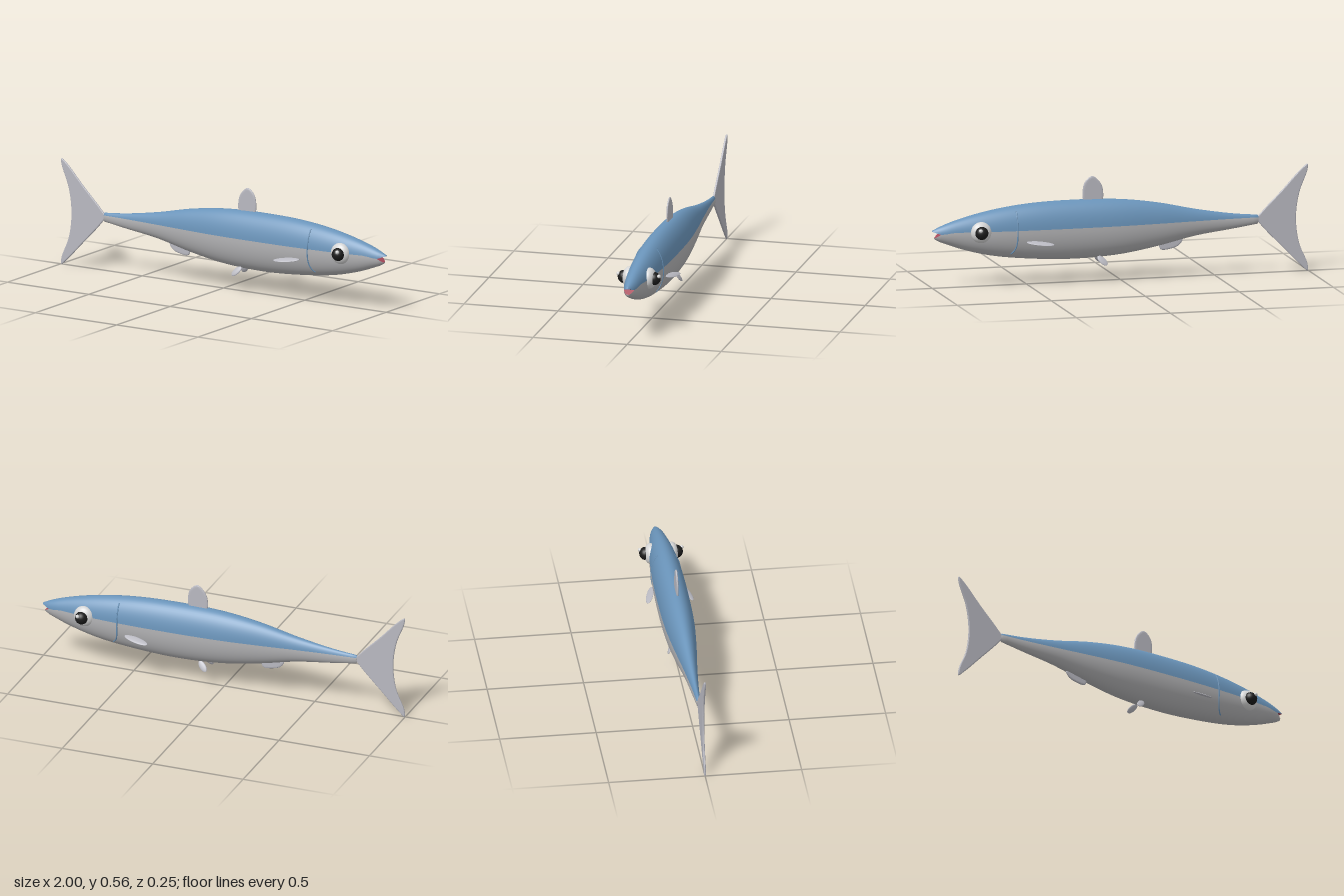
import * as THREE from 'three';

const mat = (name, color, side = THREE.FrontSide) => {
  const m = new THREE.MeshStandardMaterial({ color, side });
  m.name = name;
  return m;
};

// Body stations: x, top, bottom, half width
const STATIONS = [
  [-0.73, 0.312, 0.265, 0.012], [-0.6, 0.325, 0.246, 0.02], [-0.4, 0.358, 0.219, 0.038],
  [-0.2, 0.401, 0.175, 0.06], [0, 0.428, 0.142, 0.077], [0.25, 0.436, 0.129, 0.083],
  [0.5, 0.427, 0.142, 0.08], [0.7, 0.4, 0.168, 0.068], [0.85, 0.365, 0.207, 0.049],
  [0.95, 0.332, 0.244, 0.031], [1, 0.309, 0.263, 0.013],
];
const spline = new THREE.CubicInterpolant(STATIONS.map(s => s[0]), STATIONS.flatMap(s => s.slice(1)), 3);
const MOUTH_X = 0.96;

function sectionAt(x) {
  const [top, bottom, w] = spline.evaluate(x);
  return { c: (top + bottom) / 2, h: (top - bottom) / 2, w };
}

// Height of the colour line; ahead of the mouth corner it opens into two lips
function edgeAt(x, upper) {
  const line = 0.3 - 0.01 * THREE.MathUtils.smoothstep(x, 0.88, MOUTH_X);
  const open = Math.max(0, (x - MOUTH_X) / (1 - MOUTH_X));
  return line + open * (upper ? 0.013 : -0.019);
}

const edgeAngle = (s, y) => Math.asin(THREE.MathUtils.clamp((y - s.c) / s.h, -0.98, 0.98));
const lipX = (x, upper) => (upper || x < MOUTH_X ? x : MOUTH_X + (x - MOUTH_X) * 0.7);

// Smooth surface through rows of points
function loft(rows) {
  const n = rows[0].length, index = [];
  for (let i = 0; i < rows.length - 1; i++) {
    for (let j = 0; j < n - 1; j++) {
      const a = i * n + j, b = a + n;
      index.push(a, b, a + 1, b, b + 1, a + 1);
    }
  }
  const g = new THREE.BufferGeometry();
  g.setAttribute('position', new THREE.Float32BufferAttribute(rows.flat(2), 3));
  g.setIndex(index);
  g.computeVertexNormals();
  return g;
}

const BODY_X = Array.from({ length: 65 }, (_, i) => -0.73 + (MOUTH_X + 0.73) * i / 64);
const JAW_X = [0.96, 0.97, 0.98, 0.99, 1];

// Back or belly half of the body, closed at the tail root and the lip
function halfBody(upper, segments = 28) {
  const rows = [...BODY_X, ...JAW_X.slice(1)].map(x => {
    const s = sectionAt(x), a = edgeAngle(s, edgeAt(x, upper));
    const from = upper ? a : Math.PI - a, to = upper ? Math.PI - a : 2 * Math.PI + a;
    return Array.from({ length: segments + 1 }, (_, j) => {
      const t = from + (to - from) * j / segments;
      return [lipX(x, upper), s.c + s.h * Math.sin(t), s.w * Math.cos(t)];
    });
  });
  const last = rows[rows.length - 1];
  const tailEnd = rows[0].map(() => [-0.738, 0.295, 0]);
  const lip = last.map(p => [p[0], last[0][1], p[2]]);
  return loft([tailEnd, ...rows, lip]);
}

// Roof or floor of the mouth
function mouthFace(upper) {
  return loft(JAW_X.map(x => {
    const s = sectionAt(x), y = edgeAt(x, upper), z = s.w * Math.cos(edgeAngle(s, y));
    return [-1, 0, 1].map(k => [lipX(x, upper), y, k * z]);
  }));
}

// Thin upright fin with a rounded rim
function uprightFin(points, bevel) {
  const curve = new THREE.CatmullRomCurve3(points.map(p => new THREE.Vector3(p[0], p[1], 0)), true);
  const outline = curve.getPoints(points.length * 5).slice(0, -1);
  const shape = new THREE.Shape(outline.map(p => new THREE.Vector2(p.x, p.y)));
  const g = new THREE.ExtrudeGeometry(shape, {
    depth: 0.003, bevelThickness: 0.004, bevelSize: bevel, bevelOffset: -bevel, bevelSegments: 3,
  });
  return g.translate(0, 0, -0.0015);
}

// Flat leaf-shaped fin: long axis, facing direction, half sizes
function leafFin(centre, along, facing, l, w, t) {
  const x = new THREE.Vector3(...along).normalize();
  const z = new THREE.Vector3(...facing);
  z.addScaledVector(x, -z.dot(x)).normalize();
  const y = new THREE.Vector3().crossVectors(z, x);
  const g = new THREE.SphereGeometry(1, 24, 16).scale(l, w, t);
  return g.applyMatrix4(new THREE.Matrix4().makeBasis(x, y, z).setPosition(...centre));
}

function ball(x, y, z, rx, ry, rz) {
  return new THREE.SphereGeometry(1, 32, 20).scale(rx, ry, rz).translate(x, y, z);
}

// Gill line following one flank
function gillLine(side) {
  const points = [];
  for (let i = 0; i <= 16; i++) {
    const a = THREE.MathUtils.lerp(1.0, -0.95, i / 16);
    const x = 0.565 + 0.035 * Math.pow(Math.max(0, -a), 3);
    const s = sectionAt(x);
    points.push(new THREE.Vector3(x, s.c + s.h * Math.sin(a), side * s.w * Math.cos(a)));
  }
  return new THREE.TubeGeometry(new THREE.CatmullRomCurve3(points), 40, 0.0035, 6);
}

export function createModel() {
  const blue = mat('back blue', 0x6a94ba);
  const silver = mat('belly silver', 0xb2b2b4);
  const finGrey = mat('fin grey', 0xb9b9c1);
  const white = mat('eye white', 0xd6d6d6);
  const black = mat('pupil black', 0x1b1b1b);
  const red = mat('mouth red', 0xa84a5a, THREE.DoubleSide);

  const fish = new THREE.Group();
  fish.name = 'fish';
  const add = (name, geometry, material) => {
    const mesh = new THREE.Mesh(geometry, material);
    mesh.name = name;
    fish.add(mesh);
  };

  // Body and mouth
  add('back', halfBody(true), blue);
  add('belly', halfBody(false), silver);
  add('mouthRoof', mouthFace(true), red);
  add('mouthFloor', mouthFace(false), red);

  // Upright fins
  add('tailFin', uprightFin([
    [-0.725, 0.292], [-0.75, 0.325], [-0.86, 0.435], [-0.965, 0.545], [-0.996, 0.566],
    [-0.995, 0.535], [-0.955, 0.43], [-0.937, 0.34], [-0.935, 0.25], [-0.952, 0.15],
    [-0.995, 0.045], [-0.996, 0.008], [-0.965, 0.033], [-0.86, 0.14], [-0.75, 0.255],
  ], 0.006), finGrey);
  add('dorsalFin', uprightFin([
    [0.1, 0.42], [0.092, 0.475], [0.107, 0.52], [0.148, 0.555], [0.185, 0.53],
    [0.2, 0.485], [0.19, 0.42],
  ], 0.012), finGrey);
  add('analFin', uprightFin([
    [-0.33, 0.205], [-0.31, 0.172], [-0.26, 0.155], [-0.215, 0.155], [-0.205, 0.19], [-0.25, 0.215],
  ], 0.01), finGrey);

  // Paired parts
  for (const side of [1, -1]) {
    const end = side > 0 ? 'right' : 'left';
    add(end + 'PectoralFin', leafFin([0.45, 0.233, side * 0.098], [-0.14, -0.014, side * 0.035],
      [0, 1, side * 0.4], 0.072, 0.02, 0.005), finGrey);
    add(end + 'PelvicFin', leafFin([0.105, 0.118, side * 0.039], [-0.045, -0.045, side * 0.022],
      [0, 0.5, side], 0.034, 0.017, 0.005), finGrey);
    add(end + 'Eye', ball(0.754, 0.297, side * 0.053, 0.055, 0.055, 0.036), white);
    add(end + 'Pupil', ball(0.758, 0.298, side * 0.08, 0.034, 0.034, 0.033), black);
    add(end + 'EyeGlint', ball(0.77, 0.315, side * 0.108, 0.01, 0.01, 0.01), white);
    add(end + 'GillLine', gillLine(side), blue);
  }
  return fish;
}
